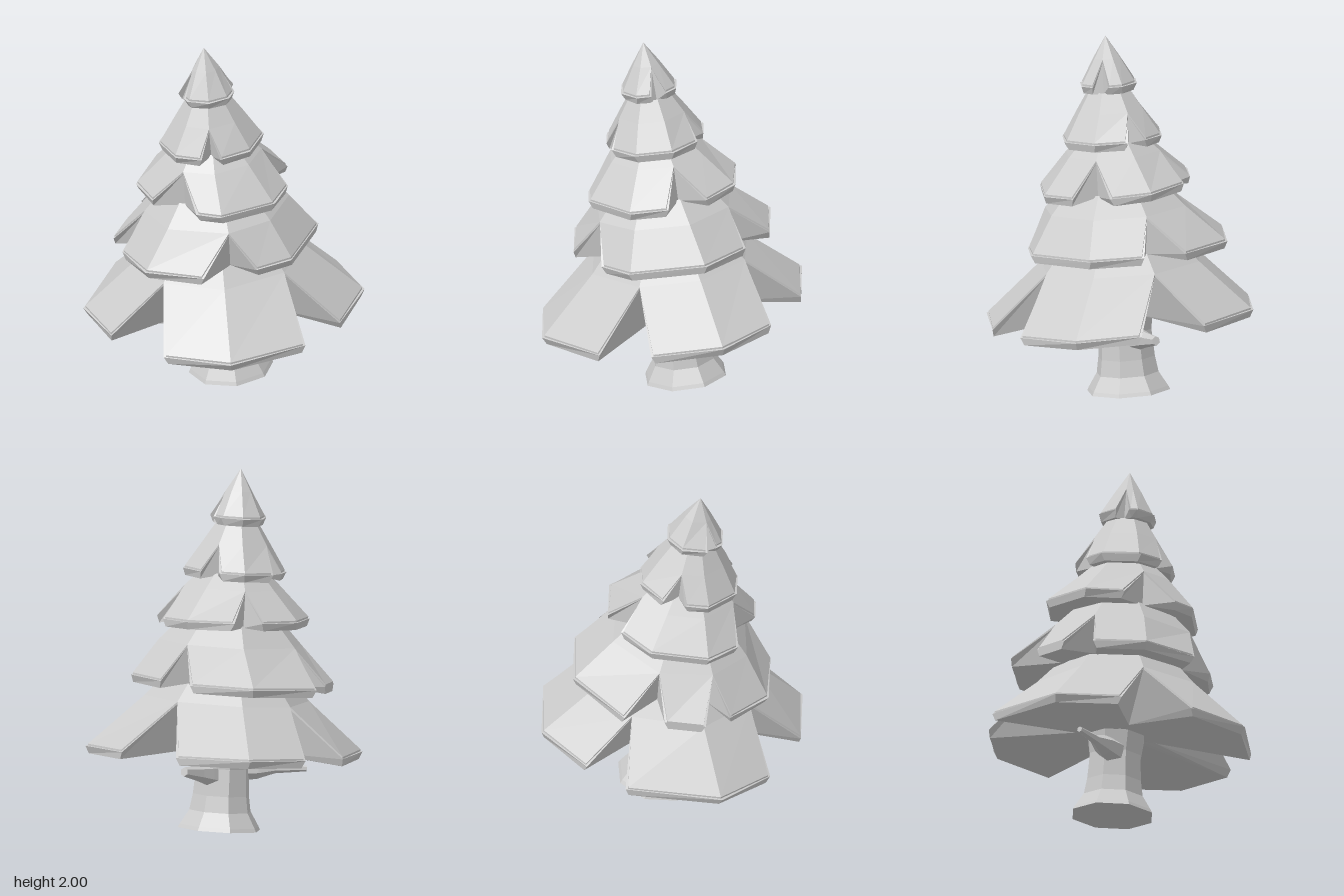
import * as THREE from 'three';

const LEAN = 0.121; // the whole tree leans towards +z
const STEP = 45; // every tier is an octagon, turned by PHASE degrees
const PHASE = 5;

const material = new THREE.MeshStandardMaterial({ color: 0xcccccc, flatShading: true });

// Each tier is an octagonal skirt. radius and edge give the rim, shift moves it
// along x and z, roll tips it sideways. top, crease and inner are [radius, height];
// core is how far in the notches reach. notches lists the rim angles on both
// sides of each cut, and a scale where the lobe after it is longer.
const TIERS = [
  { name: 'bottomBranches', radius: 0.775, edge: 0.443, shift: [0.01, 0.018], roll: 0.025,
    top: [0.37, 0.82], crease: [0.46, 0.722], inner: [0.13, 0.455], core: 0.23,
    notches: [[-9, 15], [80, 112], [181, 202], [262, 292]] },
  { name: 'lowerBranches', radius: 0.57, edge: 0.835, shift: [-0.03, 0], roll: 0,
    top: [0.29, 1.15], crease: [0.4, 1.035], inner: [0.34, 0.82], core: 0.36,
    notches: [[27, 59], [126, 143], [167, 189, 1.06], [265, 289]] },
  { name: 'middleBranches', radius: 0.44, edge: 1.17, shift: [0, -0.01], roll: 0.04,
    top: [0.19, 1.42], crease: [0.27, 1.342], inner: [0.26, 1.14], core: 0.275,
    notches: [[68, 111], [216, 238], [306, 337]] },
  { name: 'upperBranches', radius: 0.29, edge: 1.435, shift: [0, 0], roll: 0,
    top: [0.12, 1.69], crease: [0.19, 1.582], inner: [0.17, 1.41], core: 0.18,
    notches: [[42, 64], [166, 191], [259, 283]] },
  { name: 'treeTop', radius: 0.165, edge: 1.73, shift: [0, 0], roll: 0,
    top: [0, 1.99], crease: [0.076, 1.87], inner: [0.09, 1.68], core: 0.1,
    notches: [[110, 136], [302, 336]] },
];

// Point at an angle in degrees, a radius and a height
function polar(angle, [r, h]) {
  const a = THREE.MathUtils.degToRad(angle);
  return new THREE.Vector3(r * Math.cos(a), h, r * Math.sin(a));
}

// Radius of an octagon with corner radius r, at an angle in degrees
function octagonRadius(r, angle) {
  const offset = THREE.MathUtils.euclideanModulo(angle - PHASE, STEP) - STEP / 2;
  const rad = THREE.MathUtils.degToRad;
  return r * Math.cos(rad(STEP / 2)) / Math.cos(rad(offset));
}

// Joins closed rings of points, listed from the top down, into flat faces
function skin(rings) {
  const position = [];
  const tri = (a, b, c) => {
    const area = b.clone().sub(a).cross(c.clone().sub(a)).length();
    if (area > 1e-8) for (const p of [a, b, c]) position.push(p.x, p.y, p.z);
  };
  for (let k = 0; k < rings.length - 1; k++) {
    const up = rings[k], low = rings[k + 1];
    for (let i = 0; i < up.length; i++) {
      const j = (i + 1) % up.length;
      tri(up[i], up[j], low[j]);
      tri(up[i], low[j], low[i]);
    }
  }
  const geometry = new THREE.BufferGeometry();
  geometry.setAttribute('position', new THREE.Float32BufferAttribute(position, 3));
  geometry.computeVertexNormals();
  return geometry;
}

function makeTier({ name, radius, edge, shift, roll, top, crease, inner, core, notches }) {
  const rings = [[], [], [], [], [], [], []];
  const add = (...points) => points.forEach((p, k) => rings[k].push(p));
  const middle = ([a, b]) => (a + b) / 2;

  notches.forEach((notch, i) => {
    // Notch: rises to the crease, its walls run in to the core
    const mid = middle(notch);
    const apex = polar(mid, crease);
    const below = (drop) => apex.clone().setY(apex.y - drop);
    add(polar(mid, top), apex, apex, below(0.01), below(0.014), polar(mid, [core, inner[1]]), polar(mid, inner));

    // Lobe up to the next notch: its two ends and the octagon corners between
    const next = notches[i + 1] ?? notches[0].map((a) => a + 360);
    const [, start, scale = 1] = notch;
    const end = next[0];
    const angles = [start];
    for (let a = PHASE; a < end - 6; a += STEP) if (a > start + 6) angles.push(a);
    angles.push(end);

    const rim = angles.map((a) => polar(a, [octagonRadius(radius * scale, a), 0]));
    rim.forEach((p) => { p.x += shift[0]; p.z += shift[1]; });
    const centre = new THREE.Vector3();
    rim.forEach((p) => centre.addScaledVector(p, 1 / rim.length));

    rim.forEach((p, j) => {
      // The ends of a lobe fold up to the notches beside it
      const a = angles[j];
      const fold = a === start ? mid : a === end ? middle(next) : a;
      const height = edge - roll * p.x;
      const inward = centre.clone().sub(p).normalize();
      const rimPoint = (inset, drop) => p.clone().addScaledVector(inward, inset).setY(height - drop);
      add(polar(fold, top), polar(fold, crease),
        rimPoint(0.014, -0.008), rimPoint(0.014, 0.002), // groove
        rimPoint(0, 0.004), rimPoint(0.022, 0.045), // lip
        polar(a, inner));
    });
  });
  const mesh = new THREE.Mesh(skin(rings), material);
  mesh.name = name;
  return mesh;
}

// Faceted turned part with closed ends
function turned(name, profile, sides) {
  const points = profile.map(([r, y]) => new THREE.Vector2(r, y));
  const mesh = new THREE.Mesh(new THREE.LatheGeometry(points, sides), material);
  mesh.name = name;
  return mesh;
}

// Broken-off branch stub: thick at the trunk, narrowing to a blunt tip
function stub(name, from, to, tip) {
  const dir = to.clone().sub(from);
  const l = dir.length();
  const mesh = turned(name, [[0, 0], [0.075, 0], [0.06, l * 0.3], [tip * 1.8, l * 0.55], [tip, l], [0, l]], 6);
  mesh.position.copy(from);
  mesh.quaternion.setFromUnitVectors(new THREE.Vector3(0, 1, 0), dir.normalize());
  return mesh;
}

export function createModel() {
  const model = new THREE.Group();
  model.name = 'pineTree';

  const tree = new THREE.Group();
  tree.name = 'leaningTree';
  tree.position.set(0, 0.025, -0.07);
  tree.rotation.x = LEAN;
  model.add(tree);

  // Trunk with flared foot
  const trunk = turned('trunk', [[0, 0], [0.235, 0], [0.225, 0.02], [0.175, 0.1], [0.16, 0.19], [0.15, 0.34], [0.17, 0.48], [0, 0.52]], 8);
  trunk.position.z = -0.005;
  tree.add(trunk);
  tree.add(stub('frontStub', new THREE.Vector3(-0.04, 0.335, 0.08), new THREE.Vector3(-0.35, 0.348, 0.315), 0.016));
  tree.add(stub('backStub', new THREE.Vector3(0, 0.3, -0.07), new THREE.Vector3(0.03, 0.332, -0.38), 0.025));

  for (const tier of TIERS) tree.add(makeTier(tier));
  return model;
}
